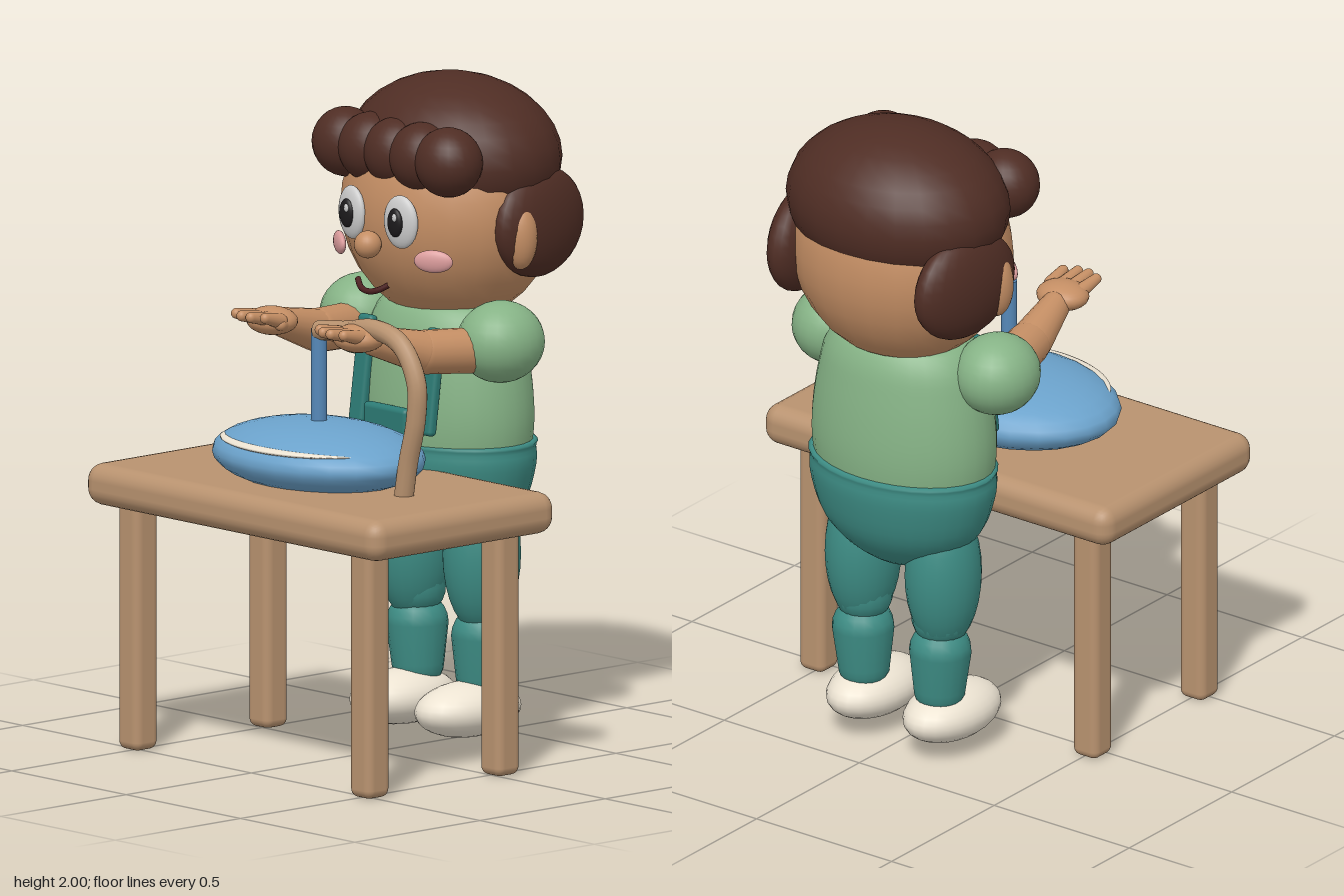
import * as THREE from 'three';
import { RoundedBoxGeometry } from 'three/addons/geometries/RoundedBoxGeometry.js';

const V = (x, y, z) => new THREE.Vector3(x, y, z);
const mat = (color) => new THREE.MeshStandardMaterial({ color });
const M = {
  hair: mat(0x4f2d24), skin: mat(0xc48e64), shirt: mat(0x86b386), trousers: mat(0x3d8c84),
  strap: mat(0x2c7a74), wood: mat(0xb8926f), blue: mat(0x6ba2cb), rod: mat(0x5588b8),
  cream: mat(0xece3d2), white: mat(0xf2f2f0), black: mat(0x1c1a1c), pink: mat(0xdb9c9c),
  gold: mat(0xd0a040), mouth: mat(0x4a2020),
};
M.tube = M.wood.clone();
M.tube.side = THREE.DoubleSide;

export function createModel() {
  const model = new THREE.Group();
  model.name = 'childAtTable';

  const add = (name, geo, material, pos = [0, 0, 0], rot = [0, 0, 0]) => {
    const m = new THREE.Mesh(geo, material);
    m.name = name;
    m.position.set(...pos);
    m.rotation.set(...rot);
    model.add(m);
    return m;
  };
  const ball = (name, material, pos, r, rot) =>
    add(name, new THREE.SphereGeometry(1, 24, 16), material, pos, rot).scale.set(...r);
  const box = (name, material, pos, size, radius, rot) =>
    add(name, new RoundedBoxGeometry(...size, 3, radius), material, pos, rot);
  const tube = (name, material, pts, r, segs = 32) =>
    add(name, new THREE.TubeGeometry(new THREE.CatmullRomCurve3(pts), segs, r, 12), material);
  // Rounded limb between two points, with its own radius at each end
  const limb = (name, material, a, b, ra, rb) => {
    const d = b.clone().sub(a), len = d.length(), pts = [];
    for (let i = 0; i <= 6; i++) {
      const t = (i / 6) * Math.PI / 2;
      pts.push(new THREE.Vector2(ra * Math.sin(t), -ra * Math.cos(t)));
    }
    for (let i = 0; i <= 6; i++) {
      const t = (i / 6) * Math.PI / 2;
      pts.push(new THREE.Vector2(rb * Math.cos(t), len + rb * Math.sin(t)));
    }
    const m = add(name, new THREE.LatheGeometry(pts, 18), material, a.toArray());
    m.quaternion.setFromUnitVectors(V(0, 1, 0), d.normalize());
  };
  const lathe = (name, material, profile, z, zScale) => {
    const pts = new THREE.SplineCurve(profile.map(p => new THREE.Vector2(...p))).getPoints(24);
    pts.forEach(p => { p.x = Math.max(p.x, 0); });
    add(name, new THREE.LatheGeometry(pts, 32), material, [0, 0, z]).scale.z = zScale;
  };

  // Table
  box('tableTop', M.wood, [0, 0.79, 0.225], [1.285, 0.125, 0.735], 0.05);
  for (const x of [-0.507, 0.507])
    for (const z of [-0.03, 0.49])
      box('tableLeg', M.wood, [x, 0.375, z], [0.092, 0.75, 0.092], 0.025);

  // Blue cushion, pale trim, rod and curved arm
  ball('cushion', M.blue, [0, 0.922, 0.23], [0.363, 0.105, 0.272]);
  const trim = [];
  for (let i = 0; i <= 12; i++) {
    const a = Math.PI * (0.17 + 0.66 * i / 12);
    trim.push(V(0.325 * Math.cos(a), 0, 0.235 * Math.sin(a)));
  }
  const trimGeo = new THREE.TubeGeometry(new THREE.CatmullRomCurve3(trim), 24, 1, 10);
  const tp = trimGeo.attributes.position, curve = new THREE.CatmullRomCurve3(trim);
  // Taper the trim to a point at both ends and flatten it
  for (let i = 0; i < tp.count; i++) {
    const t = Math.floor(i / 11) / 24, c = curve.getPointAt(t);
    const w = 0.024 * Math.pow(Math.sin(Math.PI * t), 0.6) + 0.002;
    const p = V(0, 0, 0).fromBufferAttribute(tp, i).sub(c).multiplyScalar(w);
    tp.setXYZ(i, c.x + p.x, p.y * 0.35, c.z + p.z);
  }
  trimGeo.computeVertexNormals();
  add('cushionTrim', trimGeo, M.cream, [0, 0.967, 0.23]);
  add('rod', new THREE.CylinderGeometry(0.024, 0.024, 0.3, 16), M.rod, [0, 1.15, 0.23]);
  tube('curvedArm', M.tube, [
    V(0, 1.295, 0.23), V(0.12, 1.31, 0.23), V(0.25, 1.332, 0.23), V(0.36, 1.3, 0.23),
    V(0.425, 1.2, 0.23), V(0.425, 1.09, 0.23), V(0.39, 0.95, 0.23), V(0.37, 0.84, 0.23),
  ], 0.03, 48);

  // Torso and trousers
  lathe('shirt', M.shirt, [[0.285, 0.86], [0.3, 0.96], [0.298, 1.06], [0.28, 1.18],
    [0.25, 1.28], [0.18, 1.34], [0, 1.36]], -0.28, 0.73);
  lathe('trousers', M.trousers, [[0, 0.58], [0.09, 0.595], [0.19, 0.65], [0.265, 0.73],
    [0.302, 0.84], [0.302, 0.9], [0.28, 0.925], [0, 0.935]], -0.285, 0.73);
  box('bibPocket', M.strap, [0, 0.965, -0.045], [0.19, 0.14, 0.035], 0.015);

  // Head
  ball('head', M.skin, [0, 1.6, -0.29], [0.345, 0.34, 0.3]);
  ball('nose', M.skin, [0, 1.527, 0.035], [0.041, 0.041, 0.041]);
  tube('mouth', M.mouth, [V(-0.068, 1.412, 0.012), V(-0.035, 1.393, 0.03), V(0, 1.387, 0.036),
    V(0.035, 1.393, 0.03), V(0.068, 1.412, 0.012)], 0.009);
  ball('hairCap', M.hair, [0, 1.76, -0.31], [0.355, 0.24, 0.288]);
  for (let i = -2; i <= 2; i++)
    ball('fringeCurl', M.hair, [i * 0.112, 1.79, -0.083], [0.106, 0.104, 0.098]);

  // Mirrored parts
  for (const s of [-1, 1]) {
    ball('sideHair', M.hair, [s * 0.295, 1.585, -0.375], [0.075, 0.165, 0.195], [0, s * 0.15, 0]);
    ball('ear', M.skin, [s * 0.335, 1.56, -0.27], [0.05, 0.1, 0.05]);
    ball('eye', M.white, [s * 0.107, 1.605, 0.0], [0.062, 0.08, 0.024], [0, s * 0.15, 0]);
    ball('pupil', M.black, [s * 0.105, 1.605, 0.022], [0.03, 0.043, 0.014]);
    ball('eyeGlint', M.white, [s * 0.105 + 0.01, 1.623, 0.034], [0.009, 0.012, 0.005]);
    ball('cheek', M.pink, [s * 0.205, 1.495, -0.04], [0.06, 0.034, 0.016], [0, s * 0.55, 0]);

    box('strap', M.strap, [s * 0.15, 1.12, -0.083], [0.062, 0.32, 0.032], 0.013, [-0.13, 0, 0]);
    ball('button', M.gold, [s * 0.15, 1.235, -0.075], [0.02, 0.02, 0.014]);

    // Arm
    ball('sleeve', M.shirt, [s * 0.3, 1.245, -0.222], [0.126, 0.122, 0.135]);
    limb('upperArm', M.skin, V(s * 0.27, 1.225, -0.14), V(s * 0.232, 1.235, 0.02), 0.068, 0.066);
    limb('forearm', M.skin, V(s * 0.23, 1.24, 0.04), V(s * 0.2, 1.285, 0.19), 0.063, 0.045);
    ball('palm', M.skin, [s * 0.188, 1.3, 0.245], [0.082, 0.042, 0.072]);
    [0.235, 0.195, 0.158, 0.12].forEach((x, i) => {
      const tip = [0.345, 0.36, 0.357, 0.335][i];
      limb('finger', M.skin, V(s * (0.188 + (x - 0.188) * 0.9), 1.31, 0.27),
        V(s * x, 1.327, tip), 0.023, 0.016);
    });
    limb('thumb', M.skin, V(s * 0.14, 1.295, 0.23), V(s * 0.118, 1.3, 0.275), 0.022, 0.018);

    // Leg
    ball('thigh', M.trousers, [s * 0.148, 0.58, -0.285], [0.11, 0.24, 0.122]);
    limb('upperLeg', M.trousers, V(s * 0.148, 0.6, -0.285), V(s * 0.143, 0.44, -0.29), 0.1, 0.088);
    limb('lowerLeg', M.trousers, V(s * 0.143, 0.33, -0.293), V(s * 0.14, 0.21, -0.293), 0.093, 0.078);
    ball('shoe', M.cream, [s * 0.142, 0.118, -0.235], [0.118, 0.083, 0.185]);
  }
  return model;
}
